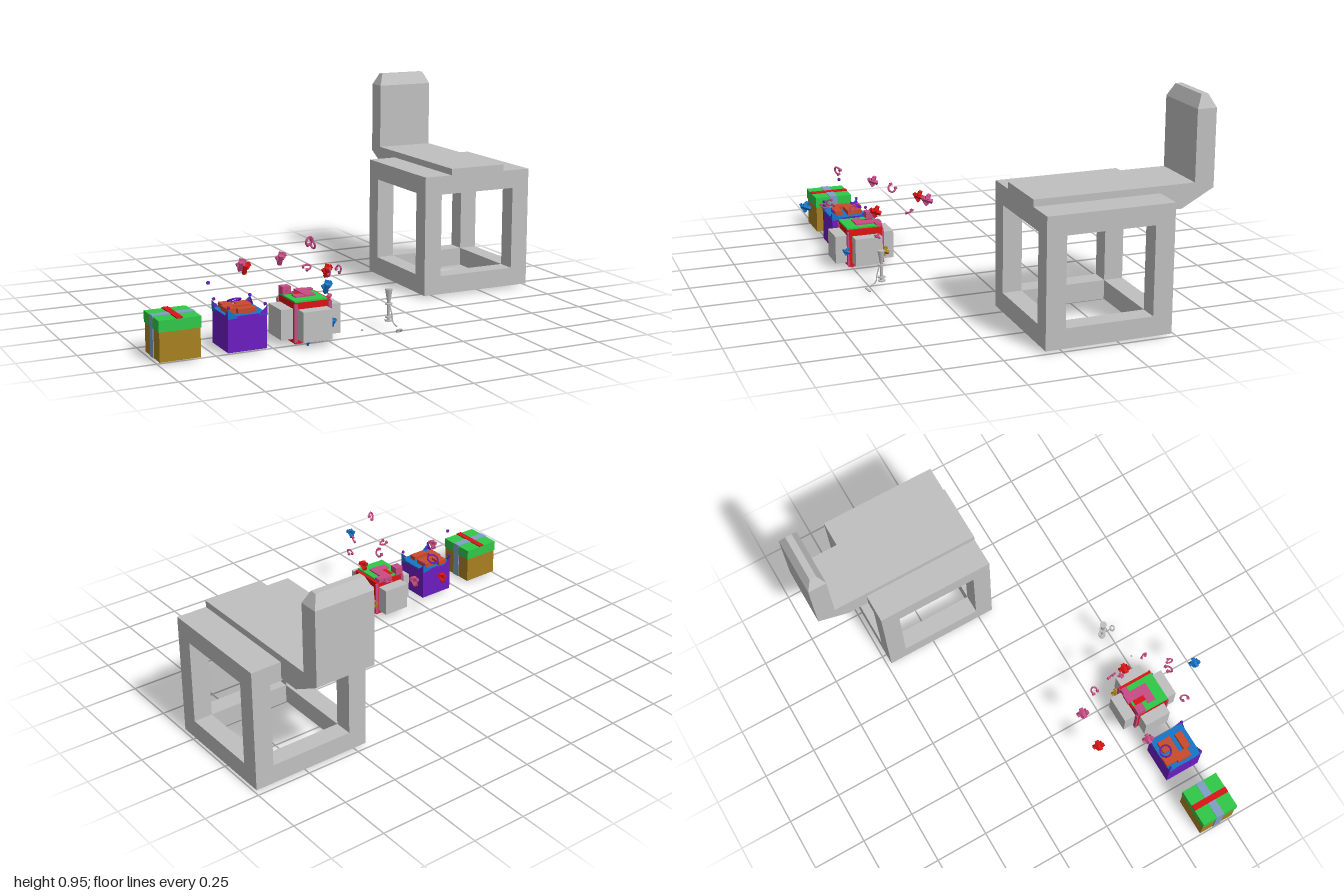
import * as THREE from 'three';

const mat = (name, color, side = THREE.FrontSide) => {
  const m = new THREE.MeshStandardMaterial({ color, side });
  m.name = name;
  return m;
};

export function createModel() {
  const M = {
    grey: mat('grey', 0xc0c0c0),
    green: mat('green', 0x2fc848),
    brown: mat('brown', 0xa88020),
    red: mat('red', 0xdc1414),
    paleBlue: mat('pale blue', 0x7f9fc4),
    blue: mat('blue', 0x1674c8, THREE.DoubleSide),
    orange: mat('orange', 0xc84a2c),
    purple: mat('purple', 0x6c1cc0, THREE.DoubleSide),
    pink: mat('pink', 0xc84c84),
  };
  const model = new THREE.Group();

  const group = (name, x = 0, y = 0, z = 0) => {
    const g = new THREE.Group();
    g.name = name;
    g.position.set(x, y, z);
    model.add(g);
    return g;
  };
  const add = (parent, name, geo, m) => {
    const mesh = new THREE.Mesh(geo, m);
    mesh.name = name;
    parent.add(mesh);
    return mesh;
  };
  // Box given by its limits on each axis
  const box = (parent, name, m, x0, x1, y0, y1, z0, z1) => {
    const mesh = add(parent, name, new THREE.BoxGeometry(x1 - x0, y1 - y0, z1 - z0), m);
    mesh.position.set((x0 + x1) / 2, (y0 + y1) / 2, (z0 + z1) / 2);
    return mesh;
  };

  // ---- Large chair: open cube frame, raised seat plank and backrest
  const chair = group('chair');
  const X0 = 0.445, X1 = 0.995, Y0 = 0.022, Y1 = 0.575, Z0 = -0.48, Z1 = 0.072, T = 0.085;
  for (const x of [X0, X1 - T]) {
    for (const z of [Z0, Z1 - T]) box(chair, 'post', M.grey, x, x + T, Y0 + T, Y1 - T, z, z + T);
    for (const y of [Y0, Y1 - T]) box(chair, 'sideRail', M.grey, x, x + T, y, y + T, Z0 + T, Z1 - T);
  }
  for (const z of [Z0, Z1 - T])
    for (const y of [Y0, Y1 - T]) box(chair, 'crossRail', M.grey, X0, X1, y, y + T, z, z + T);
  box(chair, 'seatPanel', M.grey, X0 + T, X1 - T, Y1 - 0.04, Y1, Z0 + T, Z1 - T);

  // Side profile drawn as (-z, y), swept across x
  const profile = new THREE.Shape([
    [-Z1, 0.5], [0.58, 0.5], [0.722, 0.577], [0.722, 0.91],
    [0.636, 0.91], [0.636, 0.605], [-Z1, 0.605],
  ].map(p => new THREE.Vector2(...p)));
  const plank = new THREE.ExtrudeGeometry(profile, { depth: 0.275, bevelEnabled: false });
  plank.rotateY(Math.PI / 2);
  add(chair, 'seatAndBackrest', plank, M.grey).position.x = 0.582;

  // Top vertices drawn inwards make the bevelled cap
  const cap = new THREE.BoxGeometry(0.275, 0.055, 0.086).toNonIndexed();
  const cp = cap.attributes.position;
  for (let i = 0; i < cp.count; i++)
    if (cp.getY(i) > 0) cp.setXYZ(i, cp.getX(i) * 0.82, cp.getY(i), cp.getZ(i) * 0.36);
  cap.computeVertexNormals();
  add(chair, 'backrestCap', cap, M.grey).position.set(0.7195, 0.9375, -0.679);

  // ---- Gift box with lid and crossed ribbons
  const gift = group('giftBox');
  box(gift, 'body', M.brown, -0.995, -0.822, 0.022, 0.145, 0.35, 0.522);
  box(gift, 'lid', M.green, -0.998, -0.819, 0.145, 0.193, 0.347, 0.525);
  box(gift, 'ribbonAlong', M.red, -0.922, -0.895, 0.193, 0.198, 0.347, 0.525);
  box(gift, 'ribbonAcross', M.paleBlue, -0.998, -0.819, 0.193, 0.196, 0.417, 0.455);
  for (const x of [-0.999, -0.822])
    box(gift, 'ribbonSide', M.paleBlue, x, x + 0.004, 0.022, 0.196, 0.417, 0.455);

  // ---- Purple box: walls dip in the middle, corners rise
  const purpleBox = group('purpleBox', -0.62, 0, 0.435);
  const H = 0.085;
  const wall = new THREE.Shape([
    [-H, 0.022], [H, 0.022], [H, 0.2], [0.055, 0.172], [-0.055, 0.172], [-H, 0.2],
  ].map(p => new THREE.Vector2(...p)));
  const flap = new THREE.Shape([
    [-H, 0.16], [-0.04, 0.165], [-H, 0.205],
  ].map(p => new THREE.Vector2(...p)));
  for (let i = 0; i < 4; i++) {
    const side = new THREE.Group();
    side.name = 'side';
    side.rotation.y = i * Math.PI / 2;
    add(side, 'wall', new THREE.ShapeGeometry(wall), M.purple).position.z = H;
    add(side, 'cornerFlap', new THREE.ShapeGeometry(flap), M.blue).position.z = H + 0.002;
    purpleBox.add(side);
  }
  box(purpleBox, 'base', M.purple, -H, H, 0.022, 0.026, -H, H);
  box(purpleBox, 'top', M.blue, -H, H, 0.164, 0.172, -H, H);
  for (const [x0, x1, z0, z1] of [
    [-0.06, -0.015, -0.085, -0.03], [-0.07, 0.055, -0.03, 0.0],
    [0.0, 0.055, -0.065, -0.03], [-0.07, -0.03, 0.0, 0.04], [-0.03, 0.05, 0.025, 0.06],
  ]) box(purpleBox, 'topPatch', M.orange, x0, x1, 0.172, 0.192, z0, z1);
  const ring = add(purpleBox, 'ring', new THREE.TorusGeometry(0.027, 0.004, 6, 16), M.purple);
  ring.position.set(0, 0.2, -0.055);
  ring.rotation.x = 1.1;
  const spark = (x, y, z, r, m) =>
    add(purpleBox, 'bead', new THREE.IcosahedronGeometry(r, 0), m).position.set(x, y, z);
  spark(-0.13, 0.297, -0.01, 0.009, M.purple);
  for (const x of [-0.08, 0.08]) for (const z of [-0.08, 0.08]) spark(x, 0.208, z, 0.008, M.purple);

  // ---- Red box with grey panels on four sides
  const crate = group('redBox');
  box(crate, 'body', M.red, -0.412, -0.25, 0.024, 0.196, 0.358, 0.522);
  box(crate, 'base', M.pink, -0.408, -0.254, 0.02, 0.024, 0.362, 0.518);
  box(crate, 'sidePanels', M.grey, -0.465, -0.195, 0.04, 0.168, 0.375, 0.503);
  box(crate, 'frontBackPanels', M.grey, -0.398, -0.268, 0.04, 0.168, 0.302, 0.577);
  box(crate, 'top', M.green, -0.412, -0.265, 0.196, 0.203, 0.365, 0.522);
  for (const [x0, x1, y1, z0, z1] of [
    [-0.412, -0.373, 0.235, 0.358, 0.4], [-0.34, -0.295, 0.21, 0.35, 0.47],
    [-0.385, -0.34, 0.208, 0.43, 0.47], [-0.295, -0.265, 0.21, 0.355, 0.385],
  ]) box(crate, 'topBlock', M.pink, x0, x1, 0.19, y1, z0, z1);
  box(crate, 'topPatch', M.red, -0.365, -0.34, 0.2, 0.206, 0.375, 0.43);
  for (const z of [0.354, 0.518])
    for (const x of [-0.416, -0.262]) box(crate, 'cornerStrip', M.pink, x, x + 0.016, 0.03, 0.19, z, z + 0.008);

  // ---- Scattered lumps (crossed blocks) and open clasps
  const lump = (x, y, z, s, m) => {
    const g = group('lump', x, y, z);
    for (let i = 0; i < 4; i++) {
      const b = add(g, 'block', new THREE.BoxGeometry(s * 2, s * 0.65, s * 0.7), m);
      b.rotation.set(i * 1.1, i * 0.8, i * 1.3 + 0.4);
      b.position.set(Math.sin(i * 2.1) * s * 0.3, Math.cos(i * 1.7) * s * 0.3, Math.sin(i * 3.7) * s * 0.3);
    }
  };
  const clasp = (x, y, z, r, turn) => {
    const g = group('clasp', x, y, z);
    g.rotation.set(turn, turn * 1.7, turn * 0.6);
    add(g, 'hoop', new THREE.TorusGeometry(r, r * 0.25, 5, 9, 4.4), M.pink);
    for (const a of [0, 4.4])
      add(g, 'tip', new THREE.BoxGeometry(r * 0.7, r * 0.6, r * 0.6), M.pink)
        .position.set(Math.cos(a) * r, Math.sin(a) * r, 0);
  };
  [[-0.35, 0.3, 0.695, 0.022, M.blue], [-0.245, 0.1, 0.535, 0.015, M.blue],
    [-0.355, 0.026, 0.53, 0.011, M.blue], [-0.46, 0.262, 0.118, 0.023, M.red],
    [-0.21, 0.287, 0.405, 0.023, M.red], [-0.56, 0.328, 0.313, 0.022, M.pink],
    [-0.3, 0.29, 0.13, 0.024, M.pink], [-0.238, 0.086, 0.358, 0.02, M.brown],
    [-0.2, 0.17, 0.4, 0.013, M.pink],
  ].forEach(p => lump(...p));
  [[-0.355, 0.453, 0.535, 0.018, 0.3], [-0.235, 0.382, 0.315, 0.018, 1.1],
    [-0.225, 0.265, 0.235, 0.017, 2.0], [-0.29, 0.327, 0.592, 0.015, 0.7],
    [-0.46, 0.262, 0.573, 0.017, 1.6], [-0.207, 0.315, 0.508, 0.015, 2.6],
  ].forEach(p => clasp(...p));

  // ---- Slim standing tool with crossbars and a hanging loop
  const tool = group('tool', 0.055, 0, 0.457);
  const rod = (name, r0, r1, y0, y1) =>
    add(tool, name, new THREE.CylinderGeometry(r1, r0, y1 - y0, 8), M.grey).position.y = (y0 + y1) / 2;
  rod('head', 0.007, 0.017, 0.13, 0.19);
  rod('shaft', 0.007, 0.007, 0.045, 0.13);
  for (const y of [0.052, 0.068, 0.125]) rod('collar', 0.017, 0.017, y - 0.003, y + 0.003);
  const wire = new THREE.CatmullRomCurve3([
    [0, 0.12, 0.01], [0.004, 0.085, 0.022], [0.006, 0.05, 0.03], [0.012, 0.035, 0.06],
  ].map(p => new THREE.Vector3(...p)));
  add(tool, 'wire', new THREE.TubeGeometry(wire, 10, 0.003, 5), M.grey);
  const loop = add(tool, 'loop', new THREE.TorusGeometry(0.012, 0.004, 6, 10), M.grey);
  loop.position.set(0.015, 0.022, 0.068);
  loop.rotation.x = 0.9;
  add(tool, 'bead', new THREE.IcosahedronGeometry(0.005, 0), M.grey).position.set(-0.16, 0.046, 0.068);

  // Lowest points rest on the ground
  const low = new THREE.Box3().setFromObject(model, true).min.y;
  model.children.forEach(g => { g.position.y -= Math.min(low, 0); });
  return model;
}
